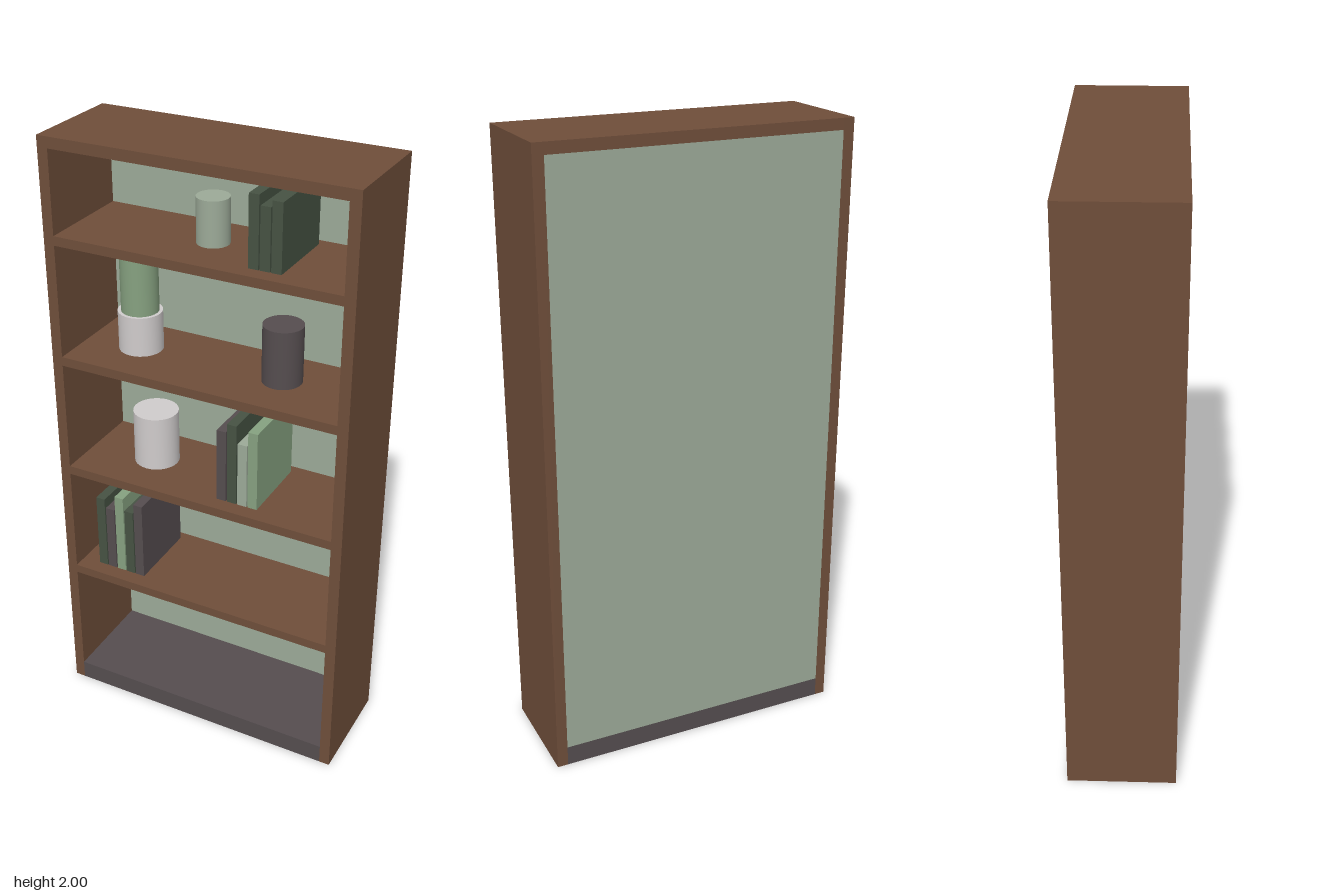
import * as THREE from 'three';

const mat = (name, color) => {
  const m = new THREE.MeshStandardMaterial({ color });
  m.name = name;
  return m;
};

export function createModel() {
  const wood = mat('brown wood', 0x6f4e3a);
  const sage = mat('sage', 0x9caa98);
  const charcoal = mat('charcoal', 0x554d4f);
  const white = mat('off white', 0xd0cccc);
  const green = mat('leaf green', 0x86a180);
  const darkGreen = mat('dark green', 0x465243);

  const root = new THREE.Group();
  root.name = 'bookcase';

  const add = (parent, name, geometry, material, x, y, z) => {
    const mesh = new THREE.Mesh(geometry, material);
    mesh.name = name;
    mesh.position.set(x, y, z);
    parent.add(mesh);
  };
  // Box given by its bottom height
  const box = (parent, name, material, w, h, d, x, y, z = 0) =>
    add(parent, name, new THREE.BoxGeometry(w, h, d), material, x, y + h / 2, z);
  // Upright cylinder given by its bottom height
  const jar = (name, material, r, h, x, y) =>
    add(root, name, new THREE.CylinderGeometry(r, r, h, 32), material, x, y + h / 2, 0);

  // Carcass
  const W = 1, H = 2, D = 0.356, T = 0.035, baseH = 0.066, backT = 0.02;
  const inner = W - 2 * T;
  for (const s of [-1, 1]) {
    box(root, s > 0 ? 'leftSide' : 'rightSide', wood, T, H, D, s * (W - T) / 2, 0);
  }
  box(root, 'topPanel', wood, inner, T, D, 0, H - T);
  box(root, 'base', charcoal, inner, baseH, D, 0, 0);
  box(root, 'backPanel', sage, inner, H - T - baseH, backT, 0, baseH, (backT - D) / 2);

  // Shelves, stopping at the back panel
  const shelfTops = [0.5, 0.9, 1.3, 1.7];
  for (const y of shelfTops) {
    box(root, 'shelf', wood, inner, 0.03, D - backT, 0, y - 0.03, backT / 2);
  }

  // Rows of books: start x, shelf height, then [height, colour] for each book
  const rows = [
    [-0.403, 0.5, [[0.267, darkGreen], [0.235, charcoal], [0.29, green], [0.245, darkGreen], [0.28, charcoal]]],
    [0.052, 0.9, [[0.25, charcoal], [0.28, darkGreen], [0.22, sage], [0.27, green]]],
    [0.152, 1.7, [[0.22, darkGreen], [0.19, darkGreen], [0.21, darkGreen]]],
  ];
  for (const [x0, y, list] of rows) {
    const books = new THREE.Group();
    books.name = 'bookRow';
    list.forEach(([h, m], i) => box(books, 'book', m, 0.032, h, 0.255, x0 + 0.016 + i * 0.036, y));
    root.add(books);
  }

  // Jars and pots
  jar('largeWhitePot', white, 0.074, 0.185, -0.236, 0.9);
  jar('whitePlanter', white, 0.071, 0.13, -0.282, 1.3);
  jar('plant', green, 0.06, 0.19, -0.282, 1.43);
  jar('darkVase', charcoal, 0.063, 0.187, 0.209, 1.3);
  jar('sageJar', sage, 0.051, 0.142, -0.024, 1.7);

  return root;
}
